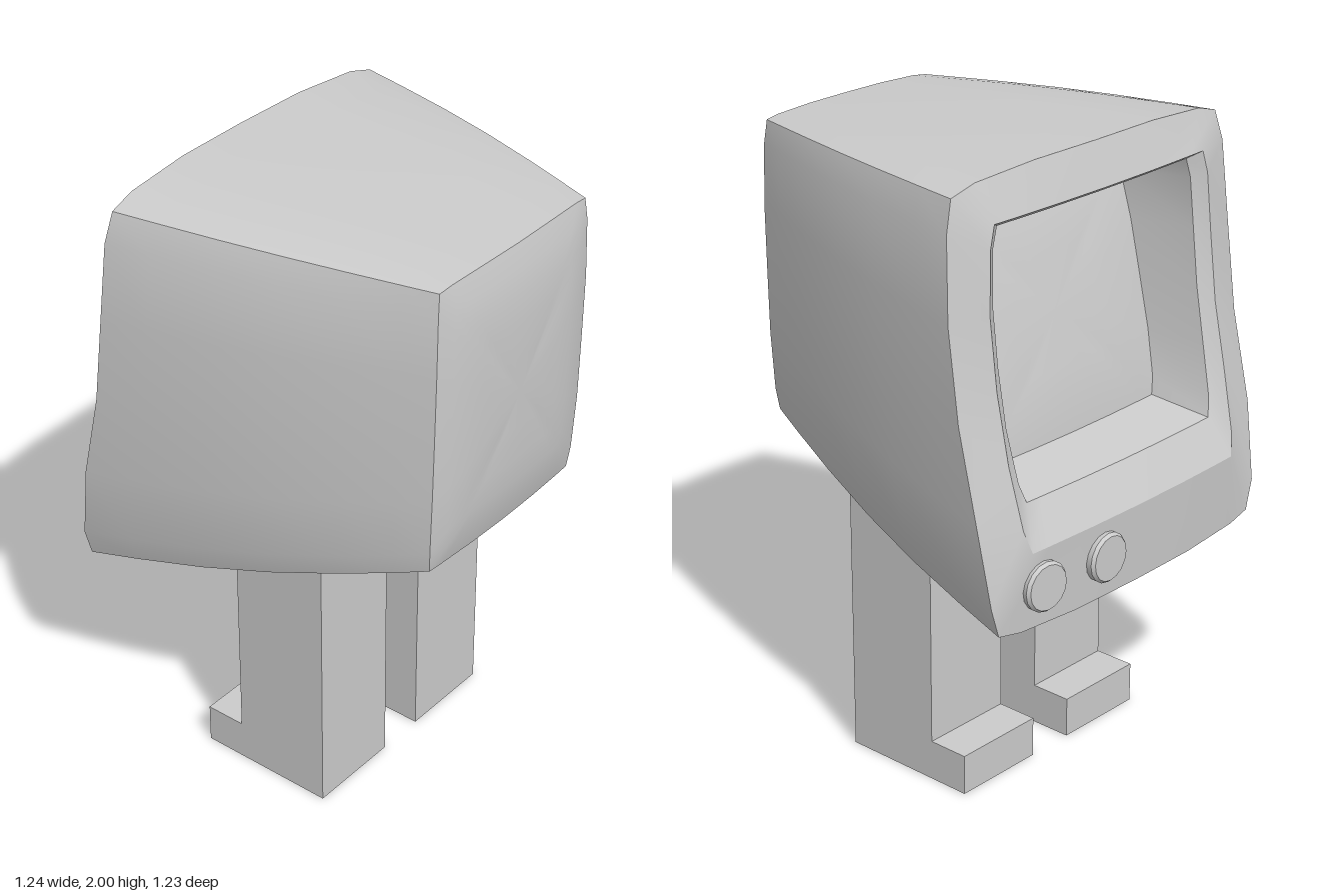
import * as THREE from 'three';
import { toCreasedNormals } from 'three/addons/utils/BufferGeometryUtils.js';

const material = new THREE.MeshStandardMaterial({ color: 0xcccccc });
const { lerp } = THREE.MathUtils;
const STEPS = [-1, -0.85, -0.45, 0, 0.45, 0.85];
const SIDES = STEPS.length * 4;

// Soft rectangle, anticlockwise from +z. Sides bulge by bx, top by bt, bottom by bb.
// z(y, e, vertical) gives the depth; e is 0 at the corners and 1 mid-side.
function ring({ w, top, bot, bx = 0, bt = 0, bb = 0, z }) {
  const mid = (top + bot) / 2, h = (top - bot) / 2;
  const pts = [];
  const add = (x, y, e, vertical) => pts.push(new THREE.Vector3(x, y, z(y, e, vertical)));
  const bulge = (u) => 1 - u ** 6;
  for (const u of STEPS) add(u * w, bot - bb * bulge(u), 1 - u * u, false);
  for (const u of STEPS) add(w + bx * bulge(u), mid + u * h, 1 - u ** 4, true);
  for (const u of STEPS) add(-u * w, top + bt * bulge(u), 1 - u * u, false);
  for (const u of STEPS) add(-w - bx * bulge(u), mid - u * h, 1 - u ** 4, true);
  return pts;
}

// Skin through a row of rings
function loft(rings, crease = 0.6) {
  const index = [];
  for (let r = 0; r < rings.length - 1; r++) {
    for (let i = 0; i < SIDES; i++) {
      const j = (i + 1) % SIDES, a = r * SIDES, b = a + SIDES;
      index.push(a + i, b + i, a + j, a + j, b + i, b + j);
    }
  }
  const geometry = new THREE.BufferGeometry().setFromPoints(rings.flat());
  geometry.setIndex(index);
  return toCreasedNormals(geometry, crease);
}

// Copies of a ring shrunk towards its middle, domed along z
function shrink(points, scales, dome) {
  const centre = new THREE.Vector3();
  points.forEach((p) => centre.addScaledVector(p, 1 / points.length));
  return scales.map((s) => points.map((p) => {
    const q = p.clone().lerp(centre, 1 - s);
    q.z += dome * (1 - s ** 4);
    return q;
  }));
}

// Depth of the curved screen-side rim at a given height
const RIM = [[0.7, -0.565], [0.9, -0.55], [1.1, -0.5], [1.36, -0.44], [1.6, -0.41], [1.96, -0.39]];
function rimZ(y) {
  for (let i = 1; i < RIM.length; i++) {
    const [y0, z0] = RIM[i - 1], [y1, z1] = RIM[i];
    if (y <= y1 || i === RIM.length - 1) {
      return lerp(z0, z1, THREE.MathUtils.clamp((y - y0) / (y1 - y0), 0, 1));
    }
  }
}

// One cross-section of the casing, t = 0 at the small front, 1 at the rim
function casingRing(t) {
  const arch = Math.sin(Math.PI * t);
  return ring({
    w: lerp(0.34, 0.575, t) + 0.018 * arch,
    top: lerp(1.94, 1.96, t) + 0.005 * arch,
    bot: lerp(1.02, 0.71, t) - 0.025 * arch,
    bx: lerp(0.015, 0.045, t) + 0.01 * arch,
    bt: lerp(0.01, 0.04, t),
    bb: lerp(0, 0.025, t) + 0.01 * arch,
    z: (y, e, vertical) => lerp(
      0.555 + 0.015 * (y - 1.02) + 0.012 * e,
      rimZ(y) - (vertical ? 0.01 : 0.022) * e, t),
  });
}

export function createModel() {
  const model = new THREE.Group();
  const add = (name, geometry, parent = model) => {
    const mesh = new THREE.Mesh(geometry, material);
    mesh.name = name;
    parent.add(mesh);
    return mesh;
  };

  // Tapered casing and its domed front panel
  const casing = [0, 0.1, 0.25, 0.45, 0.65, 0.85, 1].map(casingRing);
  add('casing', loft(casing));
  add('frontPanel', loft(shrink(casing[0], [0, 0.25, 0.5, 0.68, 0.85, 1], 0.04), 1));

  // Bezel around the screen opening, then the bevelled recess
  const opening = ring({
    w: 0.457, top: 1.87, bot: 0.935, bx: 0.033,
    z: (y, e, vertical) => rimZ(y) - 0.045 - (vertical ? 0 : 0.012 * e),
  });
  const lip = ring({
    w: 0.415, top: 1.85, bot: 1.06, bx: 0.03,
    z: (y, e, vertical) => rimZ(y) - 0.015 - (vertical ? 0 : 0.01 * e),
  });
  const screenEdge = ring({
    w: 0.385, top: 1.83, bot: 1.09, bx: 0.02,
    z: (y, e) => lerp(-0.33, -0.16, (y - 1.09) / 0.74) - 0.01 * e,
  });
  add('bezel', loft([casing[casing.length - 1], opening]));
  add('recess', loft([opening, lip, screenEdge], 0.45));
  add('screen', loft(shrink(screenEdge, [1, 0.75, 0.45, 0], -0.02), 1));

  // Control knobs below the screen
  for (const [x, z, turn] of [[0.15, -0.593, 0], [0.41, -0.583, -0.1]]) {
    const knob = new THREE.Group();
    knob.name = 'knob';
    knob.position.set(x, 0.82, z);
    knob.rotation.y = turn;
    model.add(knob);
    const geometry = new THREE.LatheGeometry(
      [[0.075, -0.03], [0.078, 0.015], [0.07, 0.025], [0, 0.025]].map(([r, h]) => new THREE.Vector2(r, h)), 16);
    geometry.rotateX(-Math.PI / 2);
    add('knobCap', toCreasedNormals(geometry, 0.5), knob);
  }

  // Square legs with a foot pointing to the screen side
  const profile = new THREE.Shape(
    [[0.2, 0], [0.2, 0.97], [-0.13, 0.97], [-0.13, 0.13], [-0.265, 0.13], [-0.265, 0]]
      .map(([z, y]) => new THREE.Vector2(z, y)));
  for (const [name, outer] of [['leftLeg', 0.395], ['rightLeg', -0.08]]) {
    const geometry = new THREE.ExtrudeGeometry(profile, { depth: 0.315, bevelEnabled: false });
    geometry.rotateY(-Math.PI / 2).translate(outer, 0, 0);
    add(name, geometry);
  }
  return model;
}
